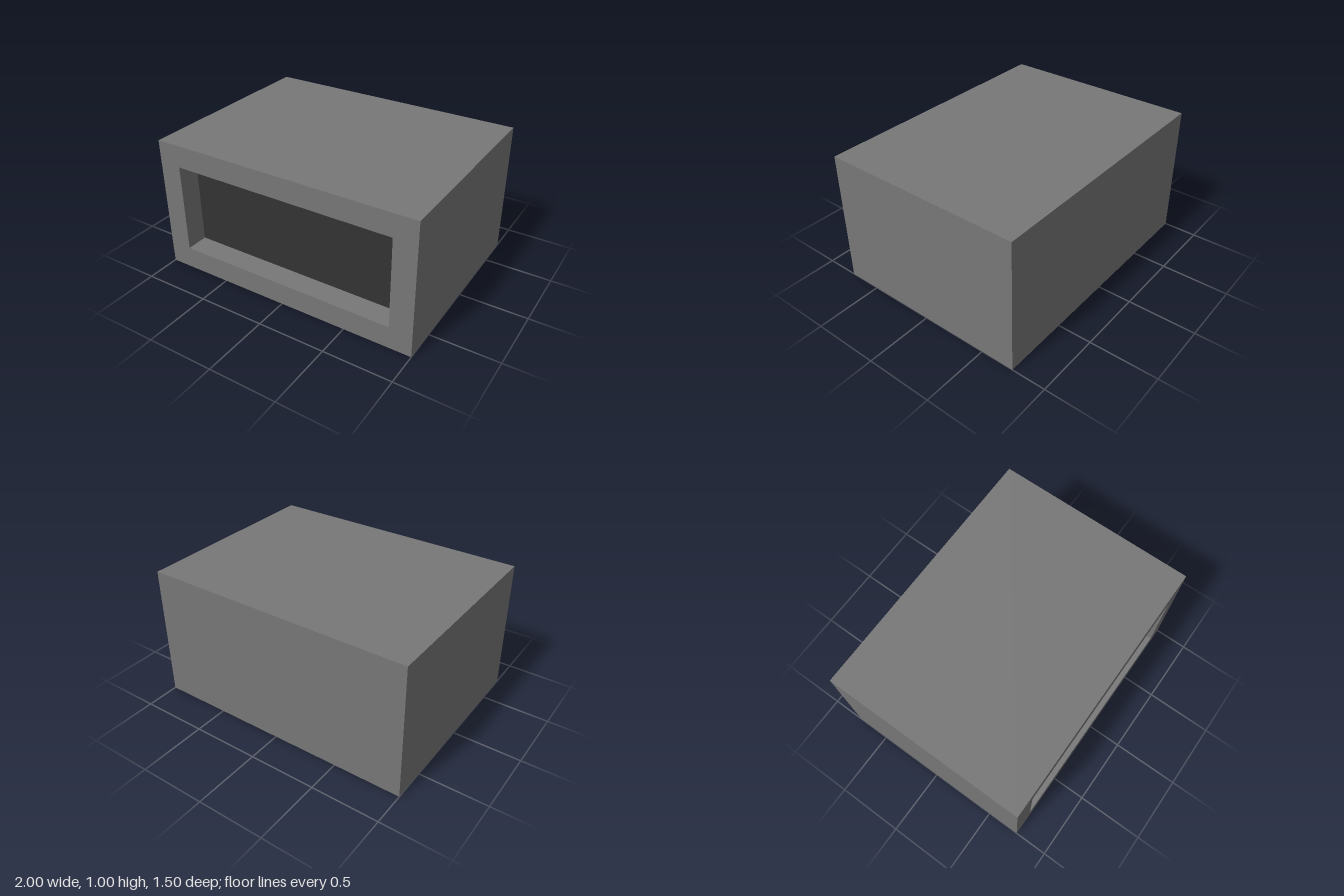
import * as THREE from 'three';

const WIDTH = 2, HEIGHT = 1, DEPTH = 1.5;
const RIM = 1 / 6; // frame width and recess depth
const OPEN_W = WIDTH - 2 * RIM, OPEN_H = HEIGHT - 2 * RIM;

// Box with only the chosen sides (0 +x, 1 -x, 2 +y, 3 -y, 4 +z, 5 -z)
function openBox(w, h, d, sides) {
  const geometry = new THREE.BoxGeometry(w, h, d);
  const index = Array.from(geometry.index.array);
  geometry.setIndex(sides.flatMap((s) => index.slice(s * 6, s * 6 + 6)));
  geometry.clearGroups();
  return geometry;
}

function rectangle(PathType, w, h) {
  return new PathType([[-1, -1], [1, -1], [1, 1], [-1, 1]].map(
    ([x, y]) => new THREE.Vector2(x * w / 2, y * h / 2)));
}

export function createModel() {
  const model = new THREE.Group();
  model.name = 'recessedBox';
  const grey = new THREE.MeshStandardMaterial({ color: 0x777777, side: THREE.DoubleSide });
  const dark = new THREE.MeshStandardMaterial({ color: 0x333333 });

  const add = (name, geometry, material, z) => {
    const mesh = new THREE.Mesh(geometry, material);
    mesh.name = name;
    mesh.position.set(0, HEIGHT / 2, z);
    model.add(mesh);
  };

  // Outer casing, open at the front
  add('casing', openBox(WIDTH, HEIGHT, DEPTH, [0, 1, 2, 3, 5]), grey, 0);

  // Flat rim around the front opening
  const rim = rectangle(THREE.Shape, WIDTH, HEIGHT);
  rim.holes.push(rectangle(THREE.Path, OPEN_W, OPEN_H));
  add('frontFrame', new THREE.ShapeGeometry(rim), grey, DEPTH / 2);

  // Four walls of the recess
  add('recessWalls', openBox(OPEN_W, OPEN_H, RIM, [0, 1, 2, 3]), grey, (DEPTH - RIM) / 2);

  // Dark panel at the bottom of the recess
  add('recessPanel', new THREE.PlaneGeometry(OPEN_W, OPEN_H), dark, DEPTH / 2 - RIM);

  return model;
}
